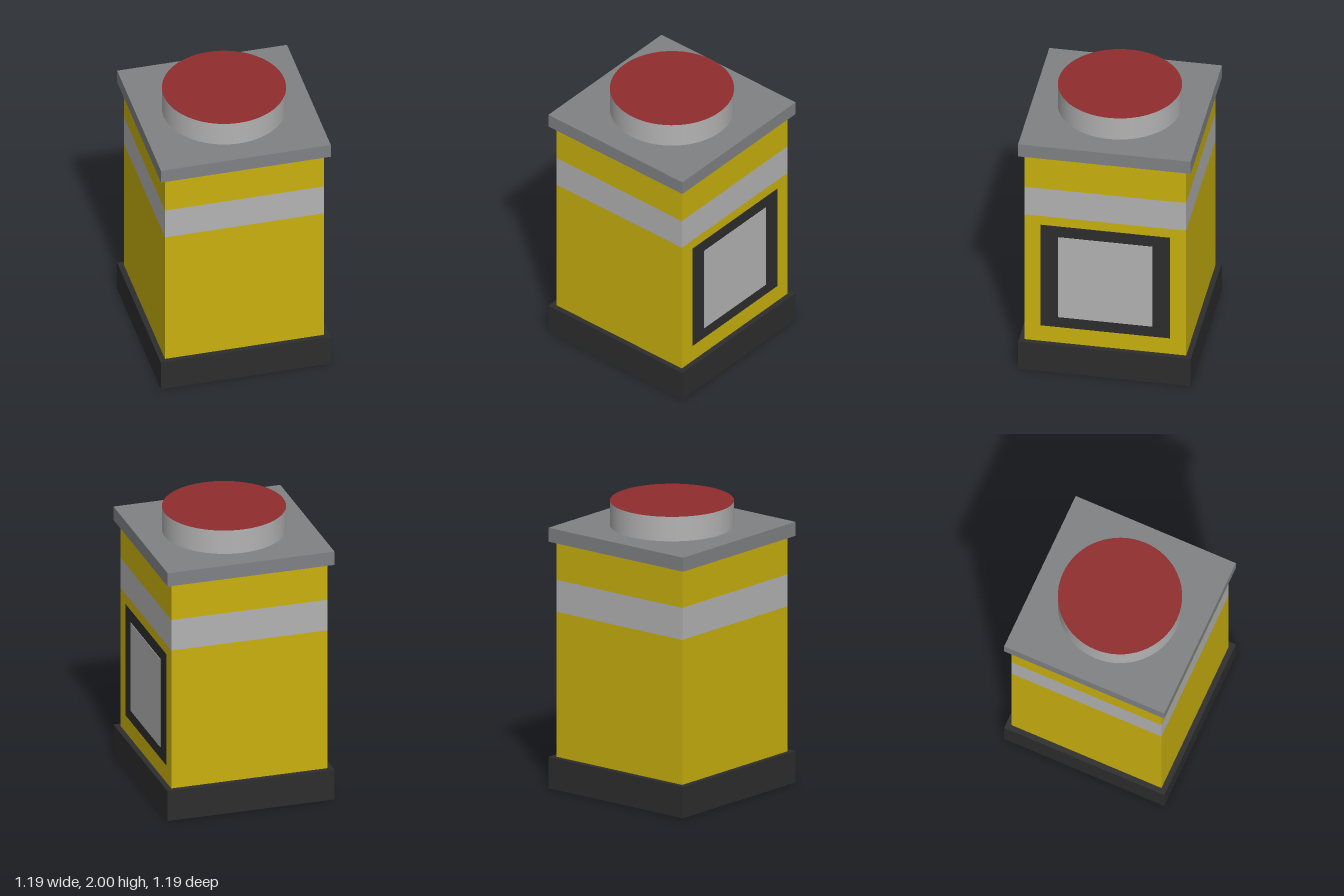
import * as THREE from 'three';

export function createModel() {
  const paint = (name, color) => {
    const m = new THREE.MeshStandardMaterial({ color });
    m.name = name;
    return m;
  };
  const yellow = paint('yellow', 0xc9b00e);
  const silver = paint('light grey', 0xb3b3b3);
  const grey = paint('mid grey', 0x7f8184);
  const black = paint('charcoal', 0x2d2d2d);
  const red = paint('red', 0x8f2c2d);

  const model = new THREE.Group();
  model.name = 'bollard';
  const add = (name, geometry, material, x, y, z) => {
    const mesh = new THREE.Mesh(geometry, material);
    mesh.name = name;
    mesh.position.set(x, y, z);
    model.add(mesh);
    return mesh;
  };

  // Square block between two heights
  const block = (name, half, y0, y1, material) =>
    add(name, new THREE.BoxGeometry(half * 2, y1 - y0, half * 2), material, 0, (y0 + y1) / 2, 0);

  // Stacked post: foot, body with a band around it, and cap plate
  block('base', 0.593, 0, 0.22, black);
  block('lowerBody', 0.555, 0.22, 1.237, yellow);
  block('band', 0.555, 1.237, 1.462, silver);
  block('upperBody', 0.555, 1.462, 1.73, yellow);
  block('capPlate', 0.593, 1.73, 1.828, grey);

  // Round button: light grey side, red top
  add('button', new THREE.CylinderGeometry(0.42, 0.42, 0.172, 64), [silver, red, silver], 0, 1.914, 0);

  // Framed panel on the left side
  const plate = (name, width, y0, y1, x, material) =>
    add(name, new THREE.BoxGeometry(0.004, y1 - y0, width), material, x, (y0 + y1) / 2, 0);
  plate('panelFrame', 0.89, 0.347, 1.166, 0.555, black);
  plate('panelFace', 0.646, 0.43, 1.08, 0.558, silver);

  return model;
}
